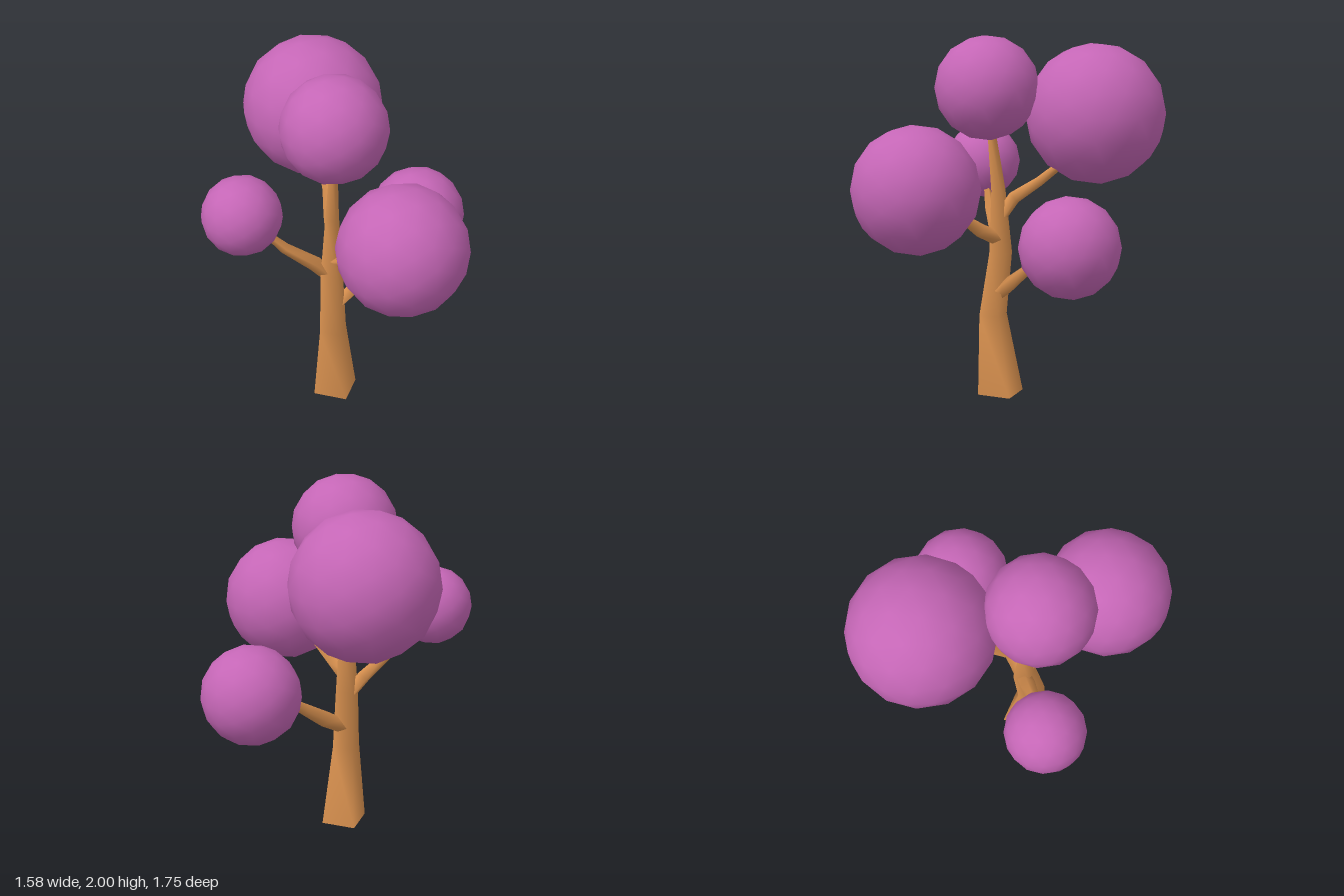
import * as THREE from 'three';

const bark = new THREE.MeshStandardMaterial({ color: 0xd9914f });
const leaves = new THREE.MeshStandardMaterial({ color: 0xc566b6 });
const SIDES = 4;

// Tapered limb: rings of four corners along points [x, y, z, radius]
function limb(name, points, ref, fixedAxis) {
  const centres = points.map(([x, y, z]) => new THREE.Vector3(x, y, z));
  const pos = [], index = [];
  points.forEach((p, i) => {
    const before = centres[Math.max(i - 1, 0)];
    const after = centres[Math.min(i + 1, centres.length - 1)];
    const t = fixedAxis ? fixedAxis.clone() : after.clone().sub(before).normalize();
    const u = ref.clone().addScaledVector(t, -ref.dot(t)).normalize();
    const v = t.clone().cross(u);
    for (let j = 0; j < SIDES; j++) {
      const a = (j / SIDES) * Math.PI * 2;
      const q = centres[i].clone()
        .addScaledVector(u, p[3] * Math.cos(a))
        .addScaledVector(v, p[3] * Math.sin(a));
      pos.push(q.x, q.y, q.z);
      if (i < points.length - 1) {
        const k = (j + 1) % SIDES, a0 = i * SIDES, b0 = a0 + SIDES;
        index.push(a0 + j, a0 + k, b0 + j, a0 + k, b0 + k, b0 + j);
      }
    }
  });
  // Flat bottom cap with its own corners
  const c = pos.length / 3;
  pos.push(...pos.slice(0, SIDES * 3));
  index.push(c, c + 2, c + 1, c, c + 3, c + 2);

  const geo = new THREE.BufferGeometry();
  geo.setAttribute('position', new THREE.Float32BufferAttribute(pos, 3));
  geo.setIndex(index);
  geo.computeVertexNormals();
  const mesh = new THREE.Mesh(geo, bark);
  mesh.name = name;
  return mesh;
}

// Round ball of leaves
function foliage(name, x, y, z, r) {
  const mesh = new THREE.Mesh(new THREE.IcosahedronGeometry(r, 2), leaves);
  mesh.position.set(x, y, z);
  mesh.name = name;
  return mesh;
}

export function createModel() {
  const tree = new THREE.Group();
  tree.name = 'tree';
  const X = new THREE.Vector3(1, 0, 0);
  const Y = new THREE.Vector3(0, 1, 0);
  const Z = new THREE.Vector3(0, 0, 1);

  // Trunk, running up into the top foliage
  tree.add(limb('trunk', [
    [-0.085, 0, 0.015, 0.135],
    [-0.113, 0.45, 0.048, 0.082],
    [-0.098, 0.8, 0.008, 0.068],
    [-0.1, 1.15, 0.02, 0.042],
    [-0.11, 1.55, 0.065, 0.02],
  ], X, Y));

  // Four branches
  tree.add(limb('leftBranch', [
    [-0.08, 0.58, 0.02, 0.04],
    [0.03, 0.645, 0.01, 0.045],
    [0.17, 0.745, -0.03, 0.033],
    [0.28, 0.825, -0.065, 0.022],
    [0.38, 0.865, -0.09, 0.02],
  ], Z));
  tree.add(limb('rightBranch', [
    [-0.11, 0.78, 0.0, 0.04],
    [-0.19, 0.87, -0.01, 0.042],
    [-0.36, 1.01, -0.03, 0.03],
    [-0.44, 1.1, -0.045, 0.02],
    [-0.5, 1.16, -0.055, 0.018],
  ], Z));
  tree.add(limb('frontBranch', [
    [-0.09, 0.88, 0.02, 0.04],
    [-0.07, 0.94, 0.14, 0.038],
    [-0.03, 1.01, 0.24, 0.027],
    [0.0, 1.08, 0.34, 0.02],
  ], X));
  tree.add(limb('backBranch', [
    [-0.095, 1.0, 0.01, 0.035],
    [-0.07, 1.11, -0.06, 0.038],
    [-0.02, 1.2, -0.19, 0.028],
    [0.02, 1.32, -0.34, 0.022],
  ], X));

  // Foliage balls
  tree.add(foliage('topFoliage', -0.115, 1.715, 0.08, 0.286));
  tree.add(foliage('backFoliage', 0.05, 1.57, -0.495, 0.388));
  tree.add(foliage('frontFoliage', 0.035, 1.2, 0.54, 0.346));
  tree.add(foliage('rightFoliage', -0.582, 1.255, -0.072, 0.215));
  tree.add(foliage('leftFoliage', 0.525, 0.932, -0.13, 0.268));
  return tree;
}
